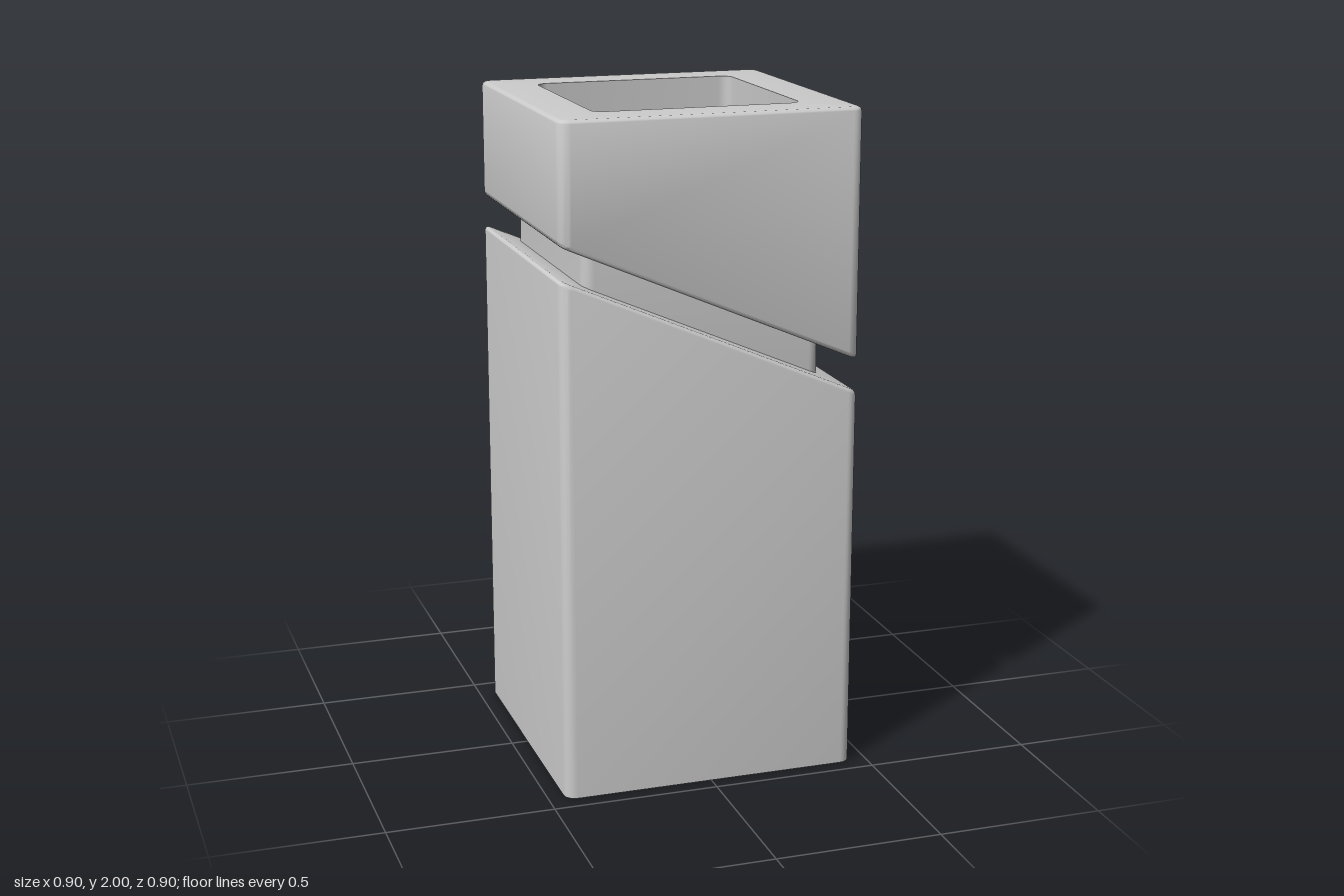
import * as THREE from 'three';
import { toCreasedNormals } from 'three/addons/utils/BufferGeometryUtils.js';

const HALF = 0.45, NECK = 0.36, HOLE = 0.31, CORNER = 0.035, EDGE = 0.015;
const SLOPE = -0.433, LOW = 1.36, HIGH = 1.455, FLOOR = 0.14;
const ARC = 6;

// one rounded-square cross-section, tilted along x by slope
function ring({ half, y, slope = 0, r = CORNER }) {
  const points = [];
  const radius = Math.min(r, half);
  for (let q = 0; q < 4; q++) {
    const mid = (q + 0.5) * Math.PI / 2;
    const cx = Math.sign(Math.cos(mid)) * (half - radius);
    const cz = Math.sign(Math.sin(mid)) * (half - radius);
    for (let i = 0; i <= ARC; i++) {
      const t = (q + i / ARC) * Math.PI / 2;
      const x = cx + radius * Math.cos(t), z = cz + radius * Math.sin(t);
      points.push(x, y + slope * x, z);
    }
  }
  return points;
}

// skin between successive cross-sections
function loft(name, sections, material) {
  const n = 4 * (ARC + 1), index = [];
  for (let i = 0; i < sections.length - 1; i++) {
    for (let j = 0; j < n; j++) {
      const a = i * n + j, b = i * n + (j + 1) % n;
      if (sections[i].half > 0) index.push(a, a + n, b);
      if (sections[i + 1].half > 0) index.push(b, a + n, b + n);
    }
  }
  const geometry = new THREE.BufferGeometry();
  geometry.setAttribute('position', new THREE.Float32BufferAttribute(sections.flatMap(ring), 3));
  geometry.setIndex(index);
  const mesh = new THREE.Mesh(toCreasedNormals(geometry, 0.55), material);
  mesh.name = name;
  return mesh;
}

// rounded edge: dir +1 closes upward, -1 opens from below
function roundedEdge(y, slope, dir) {
  const list = [];
  for (let i = 0; i <= 5; i++) {
    const t = i / 5 * Math.PI / 2;
    list.push({
      half: HALF - EDGE * (1 - Math.cos(t)),
      y: y - dir * EDGE * (1 - Math.sin(t)),
      slope,
      r: CORNER - EDGE * (1 - Math.cos(t)),
    });
  }
  return dir > 0 ? list : list.reverse();
}

export function createModel() {
  const group = new THREE.Group();
  group.name = 'slantedSquareVase';
  const material = new THREE.MeshStandardMaterial({ color: 0xcccccc });

  // lower block with slanted top
  group.add(loft('lowerBody', [
    { half: 0, y: 0 },
    { half: HALF, y: 0 },
    ...roundedEdge(LOW, SLOPE, 1),
    { half: NECK, y: LOW, slope: SLOPE },
  ], material));

  // recessed neck in the slanted groove
  group.add(loft('neck', [
    { half: NECK, y: LOW, slope: SLOPE },
    { half: NECK, y: HIGH, slope: SLOPE },
  ], material));

  // upper block with slanted underside and flat rim
  group.add(loft('upperBody', [
    { half: NECK, y: HIGH, slope: SLOPE },
    ...roundedEdge(HIGH, SLOPE, -1),
    ...roundedEdge(2, 0, 1),
    { half: HOLE, y: 2 },
  ], material));

  // square hollow
  group.add(loft('cavity', [
    { half: HOLE, y: 2 },
    { half: HOLE, y: FLOOR },
    { half: 0, y: FLOOR },
  ], material));

  return group;
}
